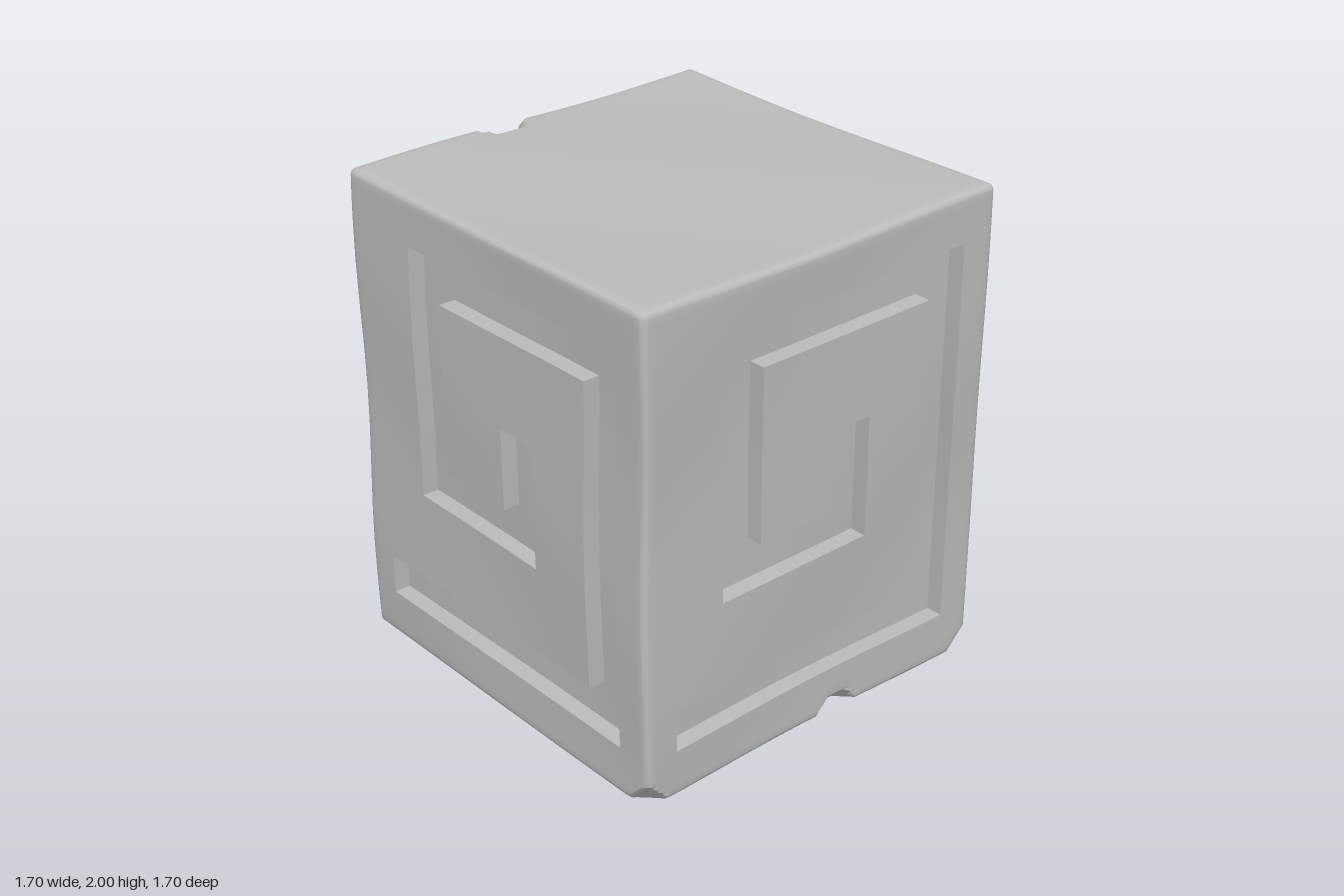
import * as THREE from 'three';
import { toCreasedNormals } from 'three/addons/utils/BufferGeometryUtils.js';

const HALF = new THREE.Vector3(0.844, 0.994, 0.844); // half size of the block
const ROUND = 0.025;                                 // edge rounding
const DEPTH = 0.07;                                  // groove depth

// Square spiral as overlapping bars: u0, u1, v0, v1 (v is height above the ground)
const SPIRAL = [
  [-0.70, 0.69, 0.21, 0.38],
  [0.52, 0.69, 0.21, 1.80],
  [-0.48, 0.69, 1.63, 1.80],
  [-0.48, -0.30, 0.75, 1.80],
  [-0.48, 0.23, 0.75, 0.92],
  [0.05, 0.23, 0.75, 1.26],
];

// Chips knocked off edges (with a centre and half width along x) and corners
const CHIPS = [
  { sign: [0, 1, -1], size: 0.10, x: -0.145, width: 0.115 },
  { sign: [0, -1, 1], size: 0.08, x: 0.125, width: 0.11 },
  { sign: [1, -1, 1], size: 0.115 },
  { sign: [-1, -1, 1], size: 0.12 },
];

const sortedLines = (list) =>
  [...new Set(list.map((n) => Number(n.toFixed(4))))].sort((a, b) => a - b);

// Grid lines, packed closely near the edges
function edgeLines(half) {
  const inset = [0, 0.007, 0.015, 0.025, 0.05, 0.075, 0.1, 0.125];
  return inset.flatMap((d) => [half - d, d - half]);
}

// Round the edges, knock off the chips, then make the block slightly uneven
function wear(p) {
  const inner = HALF.clone().subScalar(ROUND);
  const core = p.clone().clamp(inner.clone().negate(), inner);
  const out = p.clone().sub(core);
  if (out.lengthSq() > 0) p.copy(core).addScaledVector(out.normalize(), ROUND);

  for (const { sign, size, x, width } of CHIPS) {
    const axes = [0, 1, 2].filter((i) => sign[i]);
    const fade = width ? Math.min(1, 2 * (1 - Math.abs(p.x - x) / width)) : 1;
    let sum = 0;
    for (const i of axes) sum += HALF.getComponent(i) - sign[i] * p.getComponent(i);
    const push = (size * fade - sum) / axes.length;
    if (push > 0) {
      for (const i of axes) p.setComponent(i, p.getComponent(i) - sign[i] * push);
    }
  }

  const { x, y, z } = p;
  p.x += 0.006 * x * Math.sin(5 * y + 3 * z + 0.6);
  p.y += 0.006 * y * Math.sin(4 * x - 3 * z + 1);
  p.z += 0.006 * z * Math.sin(4.5 * y - 3 * x + 2);
  p.y += 1;
  return p;
}

function makeGeometry(quads) {
  const positions = [];
  for (const [a, b, c, d] of quads) {
    for (const p of [a, b, c, a, c, d]) positions.push(p.x, p.y, p.z);
  }
  const geometry = new THREE.BufferGeometry();
  geometry.setAttribute('position', new THREE.Float32BufferAttribute(positions, 3));
  return toCreasedNormals(geometry, 0.45);
}

export function createModel() {
  const shell = [];
  const grooves = [];

  const us = sortedLines([
    ...edgeLines(HALF.x),
    ...SPIRAL.flatMap(([a, b]) => [a, b, -a, -b]),
    ...[0.02, 0.08, 0.105, 0.13, 0.145, 0.17, 0.2, 0.26, 0.4, 0.6].flatMap((n) => [n, -n]),
  ]);
  const vs = sortedLines([
    ...edgeLines(HALF.y),
    ...SPIRAL.flatMap(([, , a, b]) => [a - 1, b - 1]),
    -0.45, 0.1, 0.45,
  ]);

  const carved = (u, v) =>
    SPIRAL.some(([a, b, c, d]) => u > a && u < b && v + 1 > c && v + 1 < d);
  const middle = (lines, i) => (lines[i] + lines[i + 1]) / 2;

  // Four sides, the same spiral turned around the block
  for (let side = 0; side < 4; side++) {
    const point = ([u, v], depth) => {
      let x = u;
      let z = HALF.z - depth;
      for (let k = 0; k < side; k++) [x, z] = [z, -x];
      return wear(new THREE.Vector3(x, v, z));
    };
    for (let i = 0; i < us.length - 1; i++) {
      for (let j = 0; j < vs.length - 1; j++) {
        const corners = [
          [us[i], vs[j]], [us[i + 1], vs[j]],
          [us[i + 1], vs[j + 1]], [us[i], vs[j + 1]],
        ];
        if (!carved(middle(us, i), middle(vs, j))) {
          shell.push(corners.map((c) => point(c, 0)));
          continue;
        }
        // Groove floor, and walls where the next cell is not carved
        grooves.push(corners.map((c) => point(c, DEPTH)));
        [[0, -1], [1, 0], [0, 1], [-1, 0]].forEach(([di, dj], e) => {
          if (carved(middle(us, i + di), middle(vs, j + dj))) return;
          const a = corners[e];
          const b = corners[(e + 1) % 4];
          grooves.push([point(b, DEPTH), point(a, DEPTH), point(a, 0), point(b, 0)]);
        });
      }
    }
  }

  // Plain top and bottom
  for (const s of [1, -1]) {
    const point = (u, v) => wear(new THREE.Vector3(u, s * HALF.y, -s * v));
    for (let i = 0; i < us.length - 1; i++) {
      for (let j = 0; j < us.length - 1; j++) {
        shell.push([
          point(us[i], us[j]), point(us[i + 1], us[j]),
          point(us[i + 1], us[j + 1]), point(us[i], us[j + 1]),
        ]);
      }
    }
  }

  const stone = new THREE.MeshStandardMaterial({ color: 0xbcbcbc });
  stone.name = 'stone';

  const group = new THREE.Group();
  group.name = 'carvedStoneBlock';
  for (const [name, quads] of [['wornBlock', shell], ['spiralGrooves', grooves]]) {
    const mesh = new THREE.Mesh(makeGeometry(quads), stone);
    mesh.name = name;
    group.add(mesh);
  }
  return group;
}
